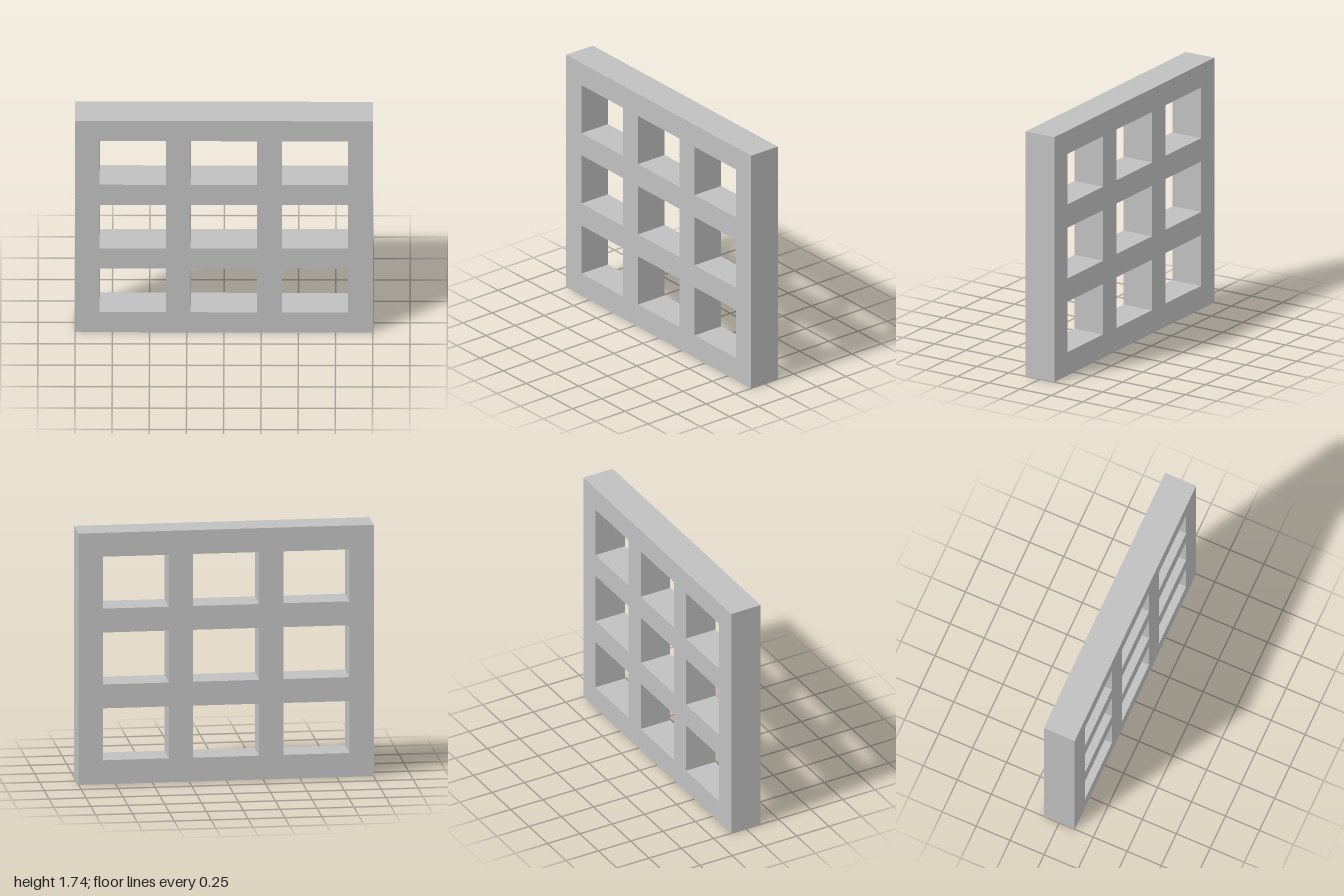
import * as THREE from 'three';

const W = 2, H = 1.735, D = 0.228; // overall size
const BAR = 0.165;                 // width of every bar
const COLS = 3, ROWS = 3;

// Rectangle outline from its lower left corner
function rect(path, x, y, w, h) {
  path.moveTo(x, y);
  path.lineTo(x + w, y);
  path.lineTo(x + w, y + h);
  path.lineTo(x, y + h);
  path.closePath();
  return path;
}

export function createModel() {
  const group = new THREE.Group();
  group.name = 'latticePanel';

  const grey = new THREE.MeshStandardMaterial({ color: 0xc0c0c0 });
  grey.name = 'light grey';

  // Slab with a regular grid of rectangular openings
  const outline = rect(new THREE.Shape(), -W / 2, 0, W, H);
  const w = (W - BAR * (COLS + 1)) / COLS;
  const h = (H - BAR * (ROWS + 1)) / ROWS;
  for (let c = 0; c < COLS; c++) {
    for (let r = 0; r < ROWS; r++) {
      const x = -W / 2 + BAR + c * (w + BAR);
      const y = BAR + r * (h + BAR);
      outline.holes.push(rect(new THREE.Path(), x, y, w, h));
    }
  }

  const geometry = new THREE.ExtrudeGeometry(outline, { depth: D, bevelEnabled: false });
  geometry.translate(0, 0, -D / 2);
  const frame = new THREE.Mesh(geometry, grey);
  frame.name = 'windowFrame';
  group.add(frame);
  return group;
}
